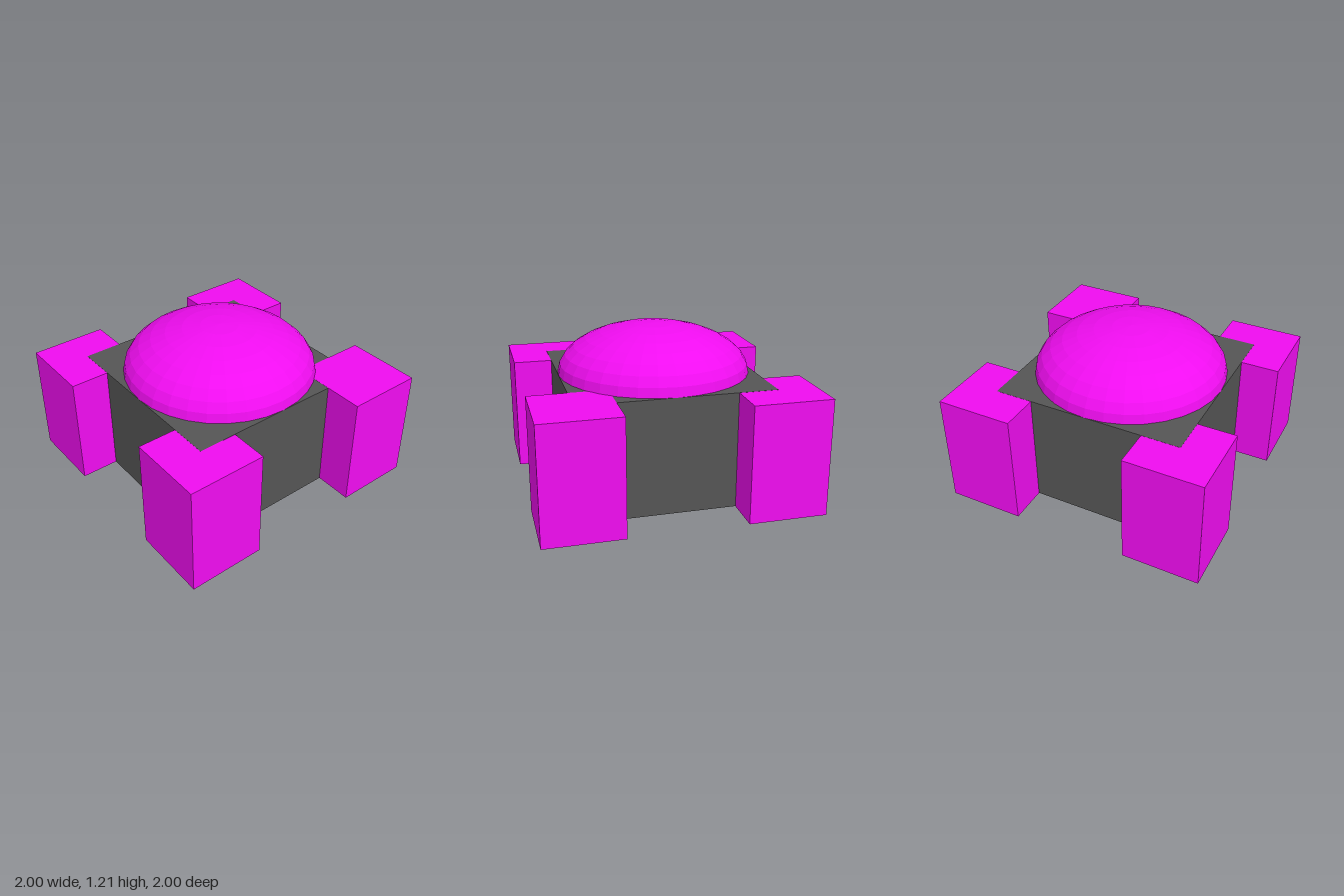
import * as THREE from 'three';

const magenta = new THREE.MeshStandardMaterial({ color: 0xf00df0, flatShading: true });
const darkGrey = new THREE.MeshStandardMaterial({ color: 0x555555, flatShading: true });

const HEIGHT = 0.857;
const BODY = 1.428; // body width and depth
const LEG = 0.571; // corner block width and depth
const GAP = 0.001; // keeps overlapping flat faces from flickering

// Box between two heights, centred on (x, z)
function block(name, size, bottom, top, x, z, material) {
  const mesh = new THREE.Mesh(new THREE.BoxGeometry(size, top - bottom, size), material);
  mesh.position.set(x, (bottom + top) / 2, z);
  mesh.name = name;
  return mesh;
}

export function createModel() {
  const model = new THREE.Group();
  model.name = 'domedBlock';

  // Central square body
  model.add(block('body', BODY, GAP, HEIGHT, 0, 0, darkGrey));

  // Four corner blocks; one shows over the body on top, one underneath
  const offset = 1 - LEG / 2;
  for (const [sx, side] of [[1, 'Left'], [-1, 'Right']]) {
    for (const [sz, end] of [[1, 'front'], [-1, 'back']]) {
      const top = HEIGHT + (sx > 0 && sz > 0 ? GAP : -GAP);
      const bottom = sx > 0 && sz < 0 ? 0 : 2 * GAP;
      model.add(block(`${end}${side}CornerBlock`, LEG, bottom, top, sx * offset, sz * offset, magenta));
    }
  }

  // Flattened faceted dome, its lower half sunk into the body
  const dome = new THREE.Mesh(new THREE.SphereGeometry(BODY / 2, 32, 16), magenta);
  dome.scale.y = 0.5;
  dome.position.y = HEIGHT;
  dome.name = 'dome';
  model.add(dome);

  return model;
}
